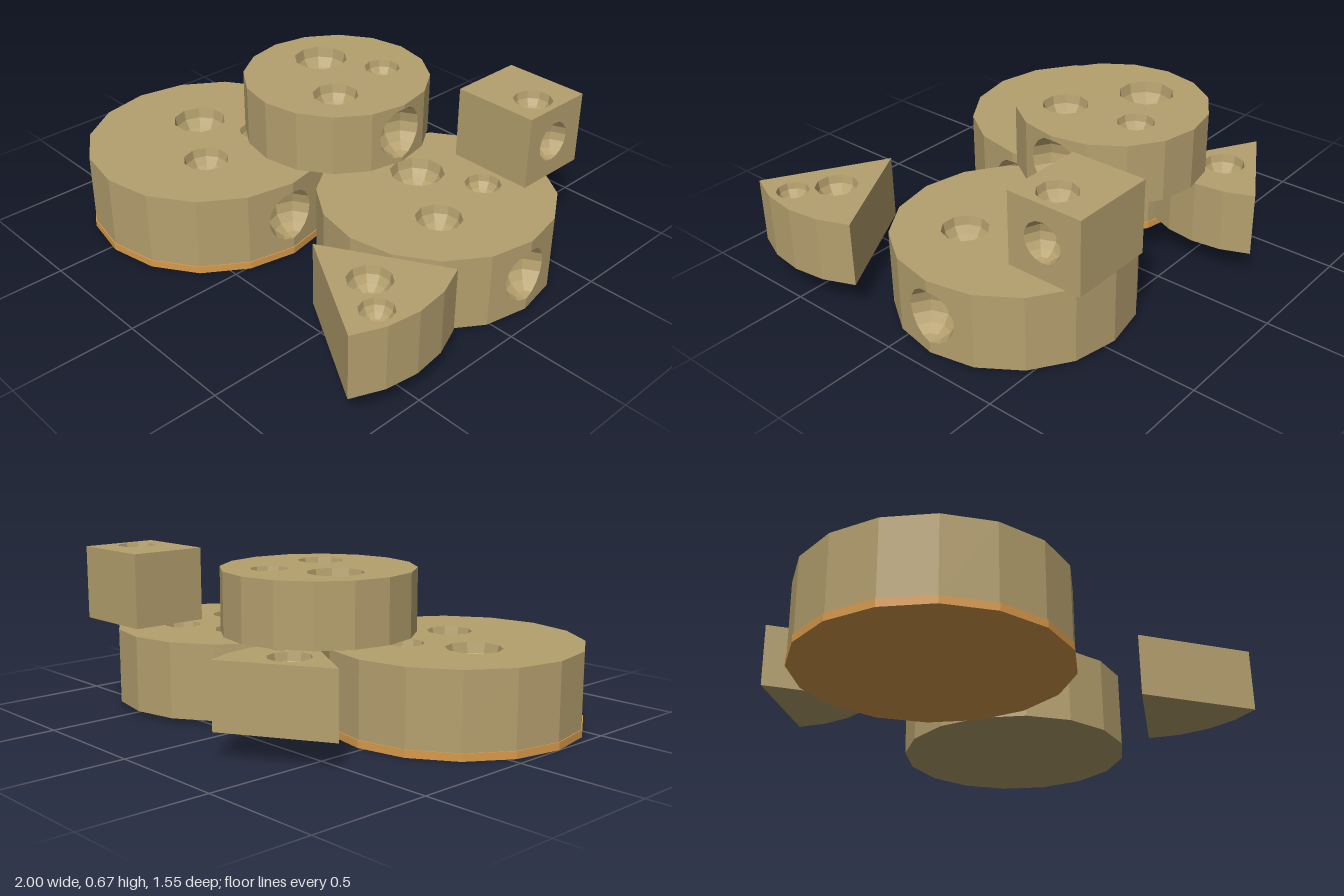
import * as THREE from 'three';
import { mergeGeometries } from 'three/addons/utils/BufferGeometryUtils.js';

const HALF_PI = Math.PI / 2;

// Flat panel from 2D points, with round ten-sided holes
function panel(points, holes = []) {
  const shape = new THREE.Shape(points.map(([x, y]) => new THREE.Vector2(x, y)));
  for (const [x, y, r] of holes) {
    const rim = [];
    for (let i = 0; i < 10; i++) {
      const a = (i * Math.PI) / 5;
      rim.push(new THREE.Vector2(x + r * Math.cos(a), y + r * Math.sin(a)));
    }
    shape.holes.push(new THREE.Path(rim));
  }
  return new THREE.ShapeGeometry(shape);
}

// Part of a sphere whose faces look inwards
function bowl(...args) {
  const geo = new THREE.SphereGeometry(...args);
  const idx = geo.index.array;
  for (let i = 0; i < idx.length; i += 3) [idx[i], idx[i + 1]] = [idx[i + 1], idx[i]];
  return geo;
}

function flat(geo) {
  const g = geo.toNonIndexed();
  g.computeVertexNormals();
  return g;
}

// Prism over an outline (x, z), with bowls in the top and an optional
// bite { y, r } scooped out around the first outline corner
function cheese(outline, y0, y1, holes, bite) {
  const parts = [];
  const h = y1 - y0;
  const n = outline.length;

  parts.push(panel(outline.map(([x, z]) => [x, -z]), holes.map(([x, z, r]) => [x, -z, r]))
    .rotateX(-HALF_PI).translate(0, y1, 0));
  parts.push(panel(outline).rotateX(HALF_PI).translate(0, y0, 0));

  for (let i = 0; i < n; i++) {
    const p = outline[i], q = outline[(i + 1) % n];
    const w = Math.hypot(p[0] - q[0], p[1] - q[1]);
    // Half-round notch along the edge shared with the bite
    const notch = [];
    if (bite) {
      for (let k = 0; k <= 8; k++) {
        const a = (k * Math.PI) / 8;
        notch.push([bite.r * Math.sin(a), bite.y - y0 - bite.r * Math.cos(a)]);
      }
    }
    const pts = [[0, 0], [w, 0]];
    if (i === 0) pts.push(...notch.map(([x, y]) => [w - x, y]));
    pts.push([w, h], [0, h]);
    if (i === n - 1) pts.push(...notch.reverse());
    const along = new THREE.Vector3((p[0] - q[0]) / w, 0, (p[1] - q[1]) / w);
    const up = new THREE.Vector3(0, 1, 0);
    const m = new THREE.Matrix4().makeBasis(along, up, along.clone().cross(up));
    parts.push(panel(pts).applyMatrix4(m.setPosition(q[0], y0, q[1])));
  }

  for (const [x, z, r] of holes) {
    parts.push(bowl(r, 10, 4, 0, Math.PI * 2, HALF_PI, HALF_PI).translate(x, y1, z));
  }
  if (bite) {
    const [a, b] = outline;
    const half = Math.atan2(b[1] - a[1], a[0] - b[0]);
    parts.push(bowl(bite.r, 4, 8, -half, half * 2).translate(a[0], bite.y, a[1]));
  }
  return mergeGeometries(parts.map(flat));
}

// Points on an arc, angle running from +x towards +z
function arc(cx, cz, r, from, step, count) {
  return Array.from({ length: count }, (_, i) => {
    const a = from + i * step;
    return [cx + r * Math.cos(a), cz + r * Math.sin(a)];
  });
}

export function createModel() {
  const model = new THREE.Group();
  const cheeseMat = new THREE.MeshStandardMaterial({ color: 0xb5a06e });
  cheeseMat.name = 'cheese';
  const rindMat = new THREE.MeshStandardMaterial({ color: 0xd99a4b });
  rindMat.name = 'rind';

  const add = (name, geo, mat = cheeseMat) => {
    const mesh = new THREE.Mesh(geo, mat);
    mesh.name = name;
    model.add(mesh);
  };

  // Sixteen-sided wheels, all with the same pattern of holes
  const wheelHoles = [[-0.154, -0.054, 0.112], [0.088, -0.178, 0.074], [0.134, 0.133, 0.093]];
  const wheels = [
    ['largeWheel', -0.475, 0.23, 0.521, 0.03, 0.335],
    ['mediumWheel', 0.465, -0.155, 0.475, 0.015, 0.326],
    ['topWheel', -0.12, -0.165, 0.387, 0.375, 0.629],
  ];
  for (const [name, x, z, r, y0, y1] of wheels) {
    const holes = wheelHoles.map(([hx, hz, hr]) => [x + hx, z + hz, hr]);
    const bite = { y: (y0 + y1) / 2, r: 0.11 };
    add(name, cheese(arc(x, z, r, 0, Math.PI / 8, 16), y0, y1, holes, bite));
  }

  // Rind under the large wheel
  const rind = new THREE.CylinderGeometry(0.525, 0.525, 0.03, 16);
  add('rindBase', flat(rind.translate(-0.475, 0.015, 0.23)), rindMat);

  // Sixty-degree wedges
  const wedges = [
    ['frontWedge', 0.47, 0.51, 0.526, 0.125, 0.391, [[0.289, 0, 0.085], [0.422, 0.1, 0.065]]],
    ['backWedge', -0.636, -0.543, 0.47, 0.105, 0.369, [[0.256, 0, 0.085], [0.375, 0.09, 0.058]]],
  ];
  for (const [name, x, z, r, y0, y1, list] of wedges) {
    const outline = [[x, z], ...arc(x, z, r, -Math.PI / 6, Math.PI / 12, 5)];
    add(name, cheese(outline, y0, y1, list.map(([hx, hz, hr]) => [x + hx, z + hz, hr])));
  }

  // Block, its outline starting at the middle of the scooped side
  const block = [[0.735, -0.515], [0.735, -0.362], [0.38, -0.362], [0.38, -0.68], [0.735, -0.68]];
  add('block', cheese(block, 0.376, 0.674, [[0.633, -0.5, 0.078]], { y: 0.524, r: 0.081 }));

  return model;
}
